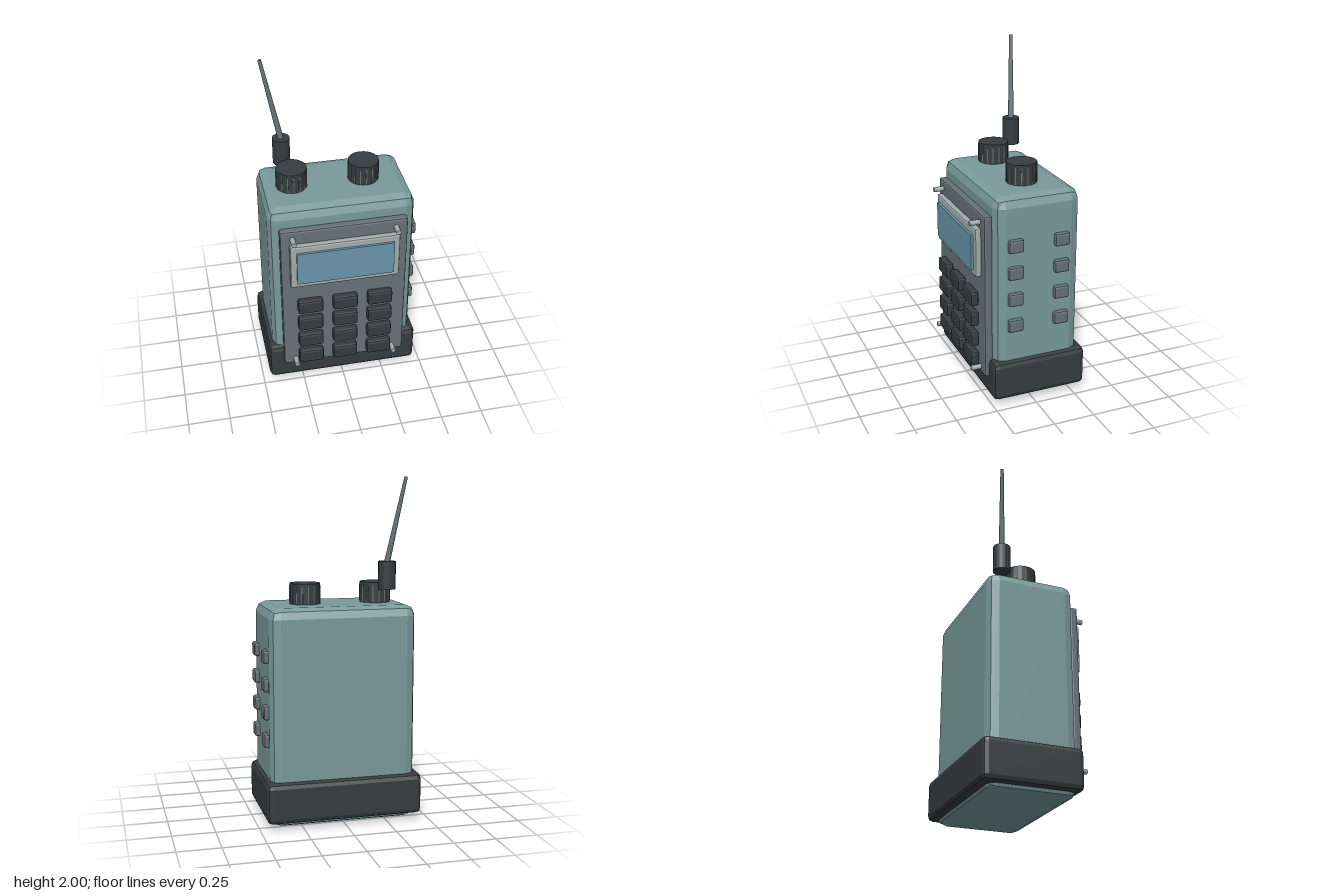
import * as THREE from 'three';
import { RoundedBoxGeometry } from 'three/addons/geometries/RoundedBoxGeometry.js';

const flat = (color) => {
  const m = new THREE.MeshStandardMaterial({ color });
  m.flatShading = true;
  return m;
};

export function createModel() {
  const radio = new THREE.Group();
  radio.name = 'handheldRadio';

  const teal = flat(0x7a9a9c);
  const dark = flat(0x363c3f);
  const slate = flat(0x667278);
  const silver = flat(0xa3adad);
  const blue = flat(0x6a96ac);

  const add = (name, geometry, material, x, y, z, parent = radio) => {
    const mesh = new THREE.Mesh(geometry, material);
    mesh.name = name;
    mesh.position.set(x, y, z);
    parent.add(mesh);
    return mesh;
  };
  // Box with two-facet rounded edges
  const rounded = (w, h, d, r) => new RoundedBoxGeometry(w, h, d, 1, r);
  const group = (name) => {
    const g = new THREE.Group();
    g.name = name;
    radio.add(g);
    return g;
  };

  // Case and the bumper around its foot
  add('body', rounded(0.86, 1.27, 0.522, 0.06), teal, 0, 0.635, -0.036);
  add('bumper', rounded(0.92, 0.24, 0.58, 0.03), dark, 0, 0.155, -0.043);

  // Front panel, display frame and screen
  add('frontPanel', rounded(0.746, 1.0, 0.05, 0.012), slate, 0, 0.66, 0.247);
  add('screenFrame', rounded(0.645, 0.295, 0.04, 0.012), silver, 0, 0.928, 0.285);
  add('screen', new THREE.BoxGeometry(0.572, 0.214, 0.02), blue, 0, 0.924, 0.309);

  // Panel screws
  const screws = group('screws');
  const screwGeo = new THREE.CylinderGeometry(0.015, 0.015, 0.062, 12).rotateX(Math.PI / 2);
  for (const x of [-0.302, 0.302]) {
    for (const y of [1.11, 0.198]) add('screw', screwGeo, silver, x, y, 0.301, screws);
  }

  // Keypad, three columns by four rows
  const keypad = group('keypad');
  const keyGeo = rounded(0.15, 0.09, 0.05, 0.013);
  for (let row = 0; row < 4; row++) {
    for (let col = -1; col <= 1; col++) {
      add('key', keyGeo, dark, col * 0.21, 0.63 - row * 0.13, 0.297, keypad);
    }
  }

  // Buttons on the left side, two columns by four rows
  const sideButtons = group('sideButtons');
  const buttonGeo = rounded(0.05, 0.078, 0.09, 0.012);
  for (let row = 0; row < 4; row++) {
    for (const z of [0.109, -0.174]) {
      add('sideButton', buttonGeo, slate, 0.433, 0.99 - row * 0.163, z, sideButtons);
    }
  }

  // Control knobs with thin grip ribs
  const knobGeo = new THREE.CylinderGeometry(0.09, 0.09, 0.13, 24);
  const ribGeo = new THREE.BoxGeometry(0.006, 0.1, 0.006);
  const ribs = 16;
  for (const x of [-0.25, 0.175]) {
    const knob = group('knob');
    knob.position.set(x, 1.325, -0.037);
    add('knobCap', knobGeo, dark, 0, 0, 0, knob);
    for (let i = 0; i < ribs; i++) {
      const a = (i / ribs) * Math.PI * 2;
      const rib = add('knobRib', ribGeo, slate, Math.sin(a) * 0.089, 0, Math.cos(a) * 0.089, knob);
      rib.rotation.y = a;
    }
  }

  // Antenna socket and leaning tapered whip
  add('antennaBase', new THREE.CylinderGeometry(0.051, 0.051, 0.162, 20), dark, -0.284, 1.436, -0.167);
  const foot = new THREE.Vector3(-0.276, 1.47, -0.164);
  const tip = new THREE.Vector3(-0.381, 1.998, -0.206);
  const axis = tip.clone().sub(foot);
  const mid = foot.clone().add(tip).multiplyScalar(0.5);
  const whip = add('antennaWhip', new THREE.CylinderGeometry(0.01, 0.018, axis.length(), 12),
    slate, mid.x, mid.y, mid.z);
  whip.quaternion.setFromUnitVectors(new THREE.Vector3(0, 1, 0), axis.normalize());

  return radio;
}
